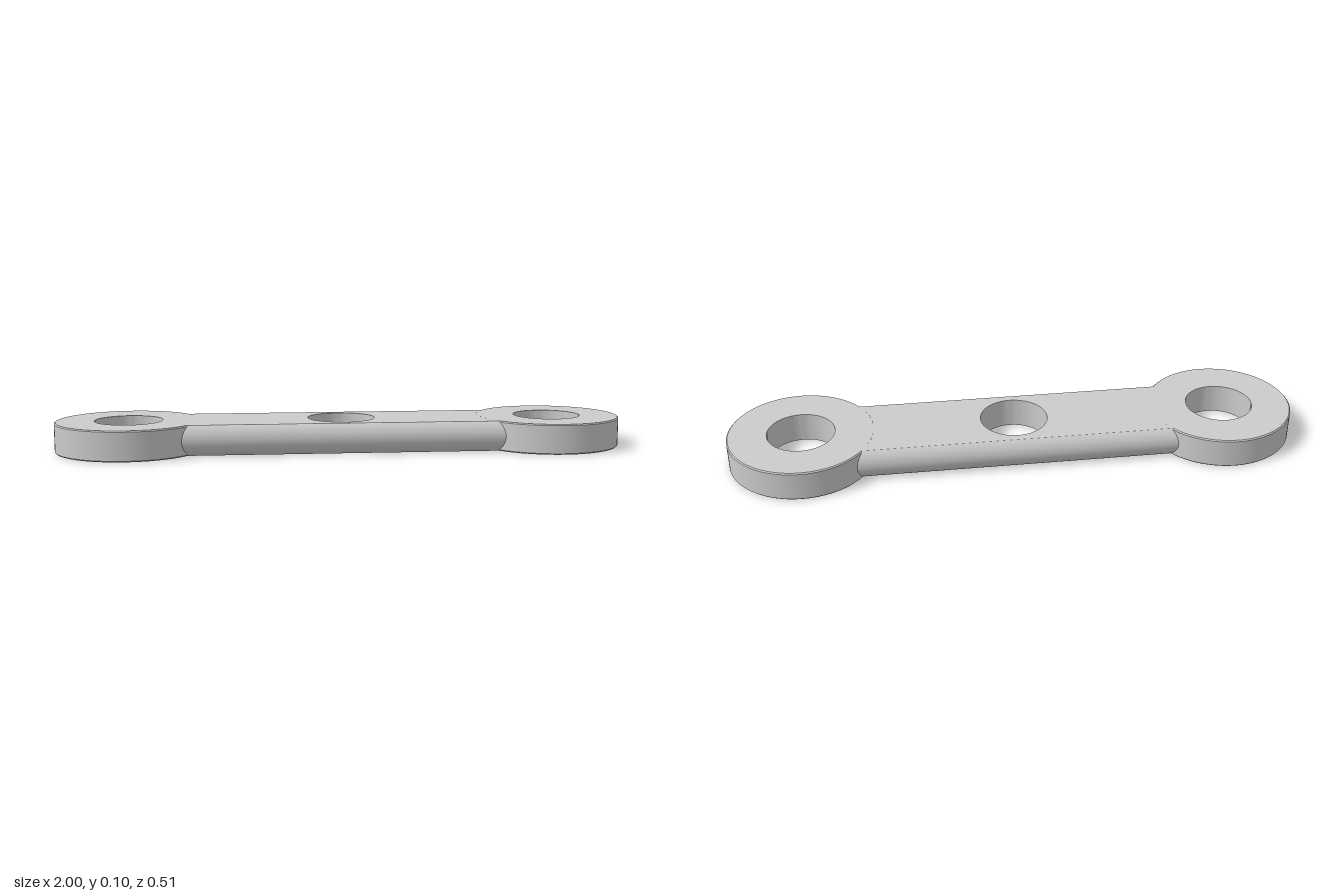
import * as THREE from 'three';
import { toCreasedNormals } from 'three/addons/utils/BufferGeometryUtils.js';

const H = 0.105;        // thickness
const CX = 0.745;       // eye centre distance
const R = 0.255;        // eye outer radius
const HOLE = 0.118;     // bore radius
const BEVEL = 0.004;    // small edge chamfer
const FLAT = 0.145;     // half width of the flat bar
const BULGE = 0.028;    // how far the rounded sides stand out

export function createModel() {
  const group = new THREE.Group();
  const material = new THREE.MeshStandardMaterial({ color: 0xcccccc });
  const add = (name, geometry, x = 0, y = 0, z = 0) => {
    const mesh = new THREE.Mesh(geometry, material);
    mesh.name = name;
    mesh.position.set(x, y, z);
    group.add(mesh);
    return mesh;
  };

  // Round end eyes with a through bore and chamfered rim
  const profile = [
    [HOLE, 0], [R - BEVEL, 0], [R, BEVEL], [R, H - BEVEL],
    [R - BEVEL, H], [HOLE, H], [HOLE, 0],
  ].map(([r, y]) => new THREE.Vector2(r, y));
  const eye = toCreasedNormals(new THREE.LatheGeometry(profile, 96), 0.5);
  add('leftEye', eye, CX);
  add('rightEye', eye, -CX);

  // Flat bar with a centre hole, its ends curved to meet the eyes
  const r = R - BEVEL;
  const a = Math.asin(FLAT / r);
  const outline = new THREE.Shape();
  outline.absarc(CX, 0, r, Math.PI + a, Math.PI - a, true);
  outline.absarc(-CX, 0, r, a, -a, true);
  outline.closePath();
  outline.holes.push(new THREE.Path().absarc(0, 0, HOLE, 0, Math.PI * 2, true));
  const bar = new THREE.ExtrudeGeometry(outline, { depth: H, bevelEnabled: false, curveSegments: 48 });
  bar.rotateX(-Math.PI / 2);
  add('bar', toCreasedNormals(bar, 0.5));

  // Rounded long sides, running slightly into the eyes
  const arcR = ((H / 2) ** 2 + BULGE ** 2) / (2 * BULGE);
  const half = Math.asin(H / 2 / arcR);
  const side = new THREE.CylinderGeometry(arcR, arcR, 1.14, 24, 1, true, -half, half * 2);
  side.rotateZ(Math.PI / 2);
  const offset = FLAT + BULGE - arcR;
  add('frontRoundedSide', side, 0, H / 2, offset);
  add('backRoundedSide', side, 0, H / 2, -offset).rotation.y = Math.PI;

  return group;
}
